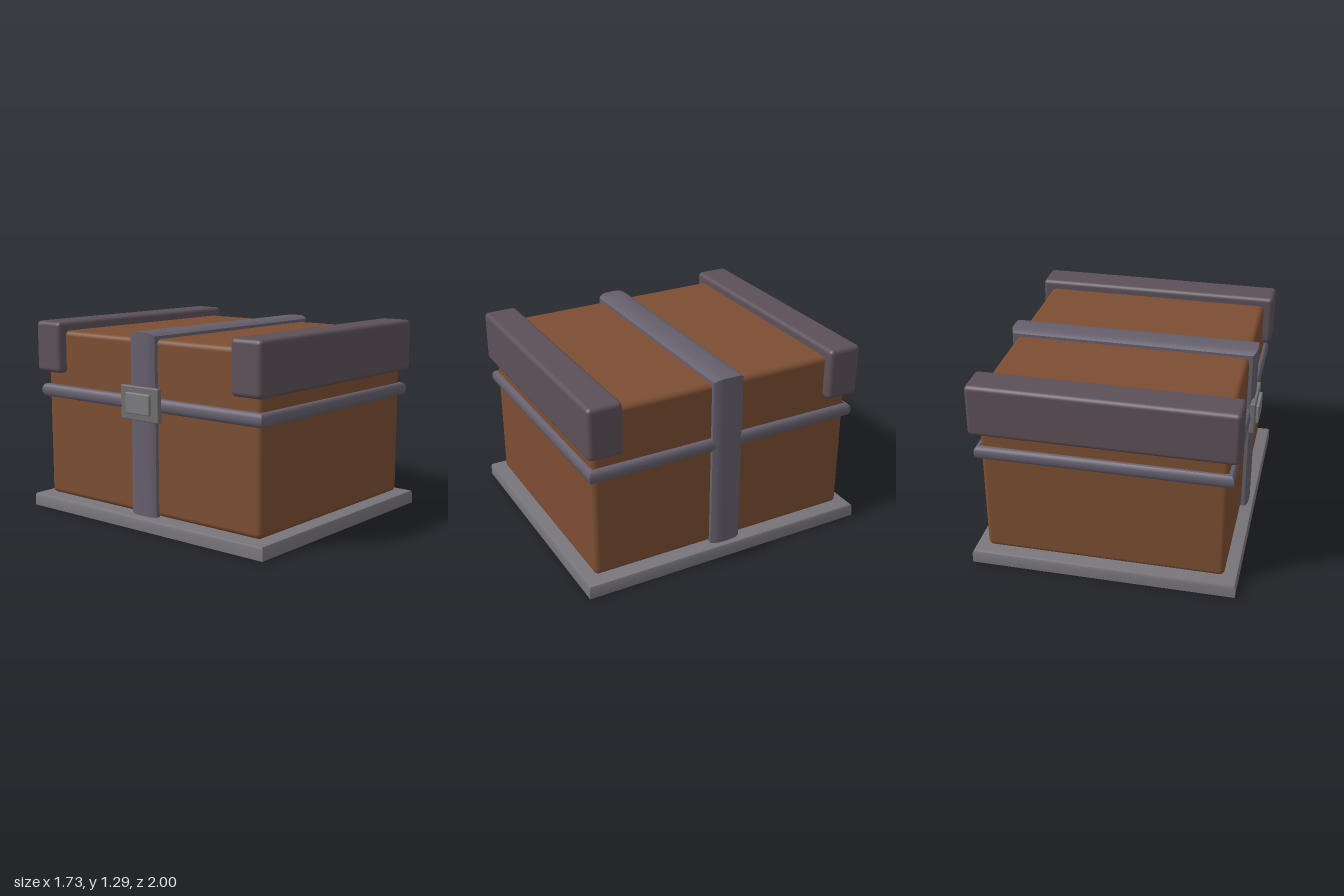
import * as THREE from 'three';
import { toCreasedNormals } from 'three/addons/utils/BufferGeometryUtils.js';
import { RoundedBoxGeometry } from 'three/addons/geometries/RoundedBoxGeometry.js';

const paint = (color) => new THREE.MeshStandardMaterial({ color });
const wood = paint(0x7c4e32);
const stone = paint(0x77747a);
const iron = paint(0x655f6c);
const darkIron = paint(0x5c5058);
const steel = paint(0x6e6e70);
const paleSteel = paint(0x7c7c7e);

const BODY = { x: 0.782, z: 0.92, bottom: 0.09, top: 1.23 };

// Sweeps a profile of [along, outward] points through mitred corners.
function mitredSweep(profile, corners, closed) {
  const rows = profile.map(([u, d]) => corners(u, d));
  const count = rows[0].length;
  const pos = [];
  for (let i = 0; i < rows.length - 1; i++) {
    for (let j = 0; j < (closed ? count : count - 1); j++) {
      const k = (j + 1) % count;
      const [a, b, c, d] = [rows[i][j], rows[i][k], rows[i + 1][k], rows[i + 1][j]];
      pos.push(...a, ...b, ...c, ...a, ...c, ...d);
    }
  }
  const geo = new THREE.BufferGeometry();
  geo.setAttribute('position', new THREE.Float32BufferAttribute(pos, 3));
  return toCreasedNormals(geo, 0.7);
}

// Horizontal rectangle around the y axis, grown outward by d.
const rectangle = (x, z) => (y, d) => [
  [x + d, y, z + d], [x + d, y, -z - d], [-x - d, y, -z - d], [-x - d, y, z + d],
];

// Upside-down U over the body, grown outward by d.
const arch = (x, bottom, top) => (z, d) => [
  [x + d, bottom, z], [x + d, top + d, z], [-x - d, top + d, z], [-x - d, bottom, z],
];

export function createModel() {
  const model = new THREE.Group();
  const add = (name, geometry, material, x = 0, y = 0, z = 0) => {
    const mesh = new THREE.Mesh(geometry, material);
    mesh.name = name;
    mesh.position.set(x, y, z);
    model.add(mesh);
  };

  // Base slab with a softened top edge
  const slab = [[0, -0.865], [0, 0], [0.07, 0], [0.084, -0.006], [0.09, -0.02], [0.09, -0.865]];
  add('base', mitredSweep(slab, rectangle(0.865, 1), true), stone);

  // Wooden body
  const height = BODY.top - BODY.bottom;
  add('body', new RoundedBoxGeometry(BODY.x * 2, height, BODY.z * 2, 3, 0.035),
    wood, 0, BODY.bottom + height / 2, 0);

  // Heavy beams along the front and back top edges
  for (const [name, side] of [['frontBeam', 1], ['backBeam', -1]]) {
    add(name, new RoundedBoxGeometry(1.69, 0.345, 0.23, 3, 0.03), darkIron, 0, 1.118, side * 0.85);
  }

  // Half-round band around the body
  const band = [];
  for (let i = 0; i <= 8; i++) {
    const a = (i / 8) * Math.PI;
    band.push([0.815 - 0.045 * Math.cos(a), 0.035 * Math.sin(a) ** 0.7]);
  }
  add('band', mitredSweep(band, rectangle(BODY.x, BODY.z - 0.003), true), iron);

  // Domed strap over the top and down both sides
  const strap = [[-0.105, -0.01]];
  for (let i = 0; i <= 8; i++) {
    const t = i / 4 - 1;
    strap.push([0.105 * t, 0.042 - 0.022 * t ** 4]);
  }
  strap.push([0.105, -0.01]);
  add('strap', mitredSweep(strap, arch(BODY.x + 0.004, 0.08, BODY.top), false), iron);

  // Buckle on the right side: plate and raised centre
  add('bucklePlate', new RoundedBoxGeometry(0.035, 0.22, 0.325, 2, 0.008), steel, -0.828, 0.82, 0);
  add('buckleCentre', new RoundedBoxGeometry(0.035, 0.135, 0.205, 2, 0.008), paleSteel, -0.848, 0.822, 0);

  return model;
}
